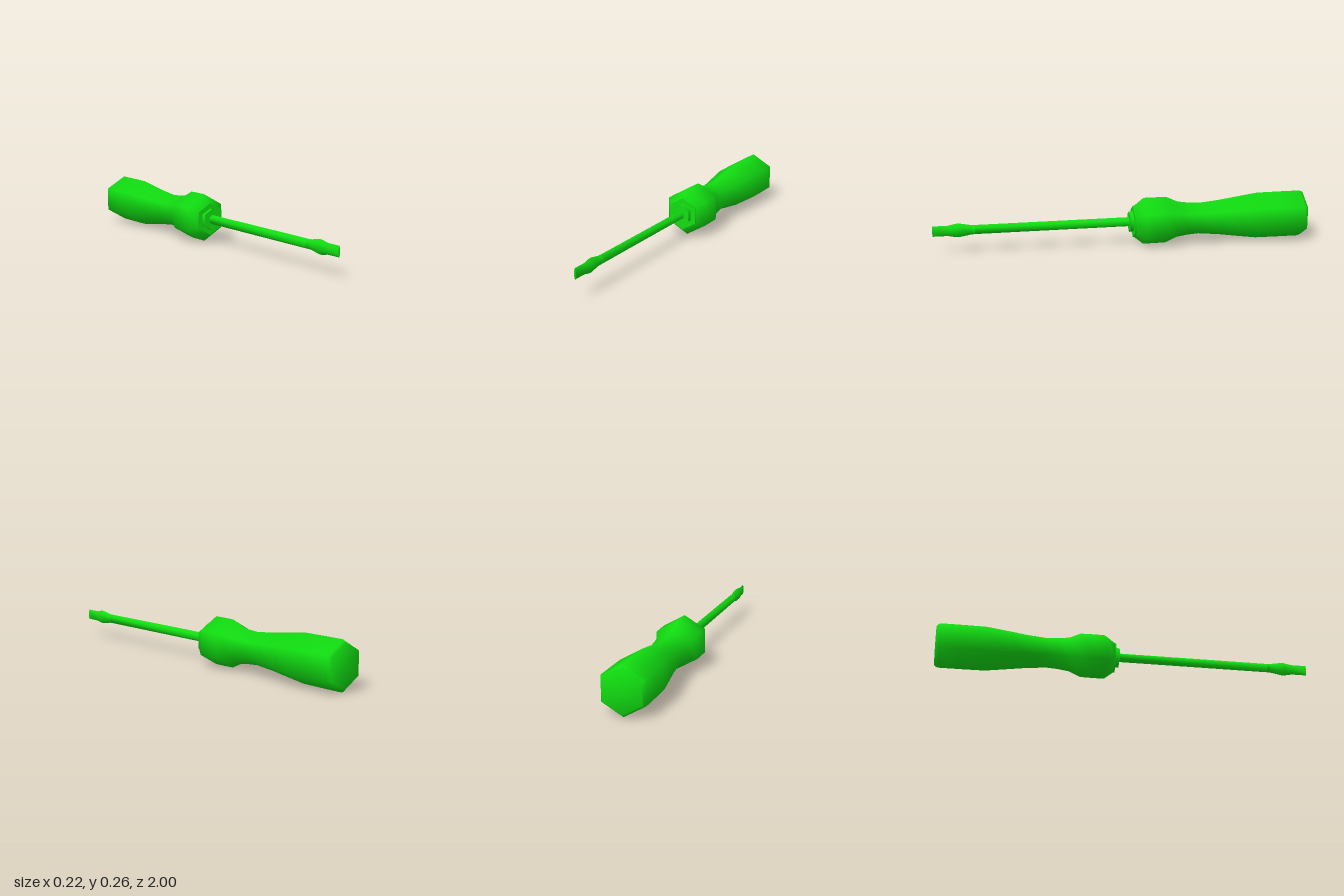
import * as THREE from 'three';
import { toCreasedNormals } from 'three/addons/utils/BufferGeometryUtils.js';

const AXIS_Y = 0.13;
const FLAT = Math.cos(Math.PI / 6); // half-width of a hexagon with radius 1
const green = new THREE.MeshStandardMaterial({ color: 0x11dd11 });

// Hexagonal loft along z, corners up and down.
// Each section is [z, half height, half width]; without a width it is a regular hexagon.
function hexLoft(name, sections) {
  const n = sections.length - 1;
  const geo = new THREE.CylinderGeometry(1, 1, 1, 6, n).rotateX(Math.PI / 2);
  const pos = geo.attributes.position;
  for (let i = 0; i < pos.count; i++) {
    const [z, ry, halfWidth = ry * FLAT] = sections[Math.round((pos.getZ(i) + 0.5) * n)];
    pos.setXYZ(i, pos.getX(i) * halfWidth / FLAT, pos.getY(i) * ry, z);
  }
  const mesh = new THREE.Mesh(toCreasedNormals(geo, 1.15), green);
  mesh.name = name;
  mesh.position.y = AXIS_Y;
  return mesh;
}

export function createModel() {
  const group = new THREE.Group();
  group.name = 'screwdriver';
  group.add(
    // Grip with a pinched waist, flared shoulder and chamfered nose
    hexLoft('handle', [
      [-1, 0.113], [-0.993, 0.122], [-0.98, 0.128], [-0.87, 0.128], [-0.74, 0.127],
      [-0.64, 0.113], [-0.53, 0.097], [-0.42, 0.086], [-0.36, 0.09], [-0.3, 0.099],
      [-0.24, 0.127], [-0.18, 0.128], [-0.115, 0.128], [-0.065, 0.088],
    ]),
    // Stepped collar between grip and shaft
    hexLoft('collarBase', [[-0.08, 0.087], [-0.058, 0.087]]),
    hexLoft('collarRing', [[-0.07, 0.057], [-0.037, 0.057]]),
    // Shaft, slightly swollen before the blade
    hexLoft('shaft', [[-0.06, 0.025, 0.019], [0.78, 0.025, 0.018]]),
    // Blade flaring in height, then flattening to a thin edge
    hexLoft('blade', [
      [0.78, 0.025, 0.018], [0.8, 0.026, 0.015], [0.86, 0.037, 0.019], [0.875, 0.037, 0.018],
      [0.92, 0.028, 0.013], [1, 0.028, 0.004],
    ]),
  );
  return group;
}
